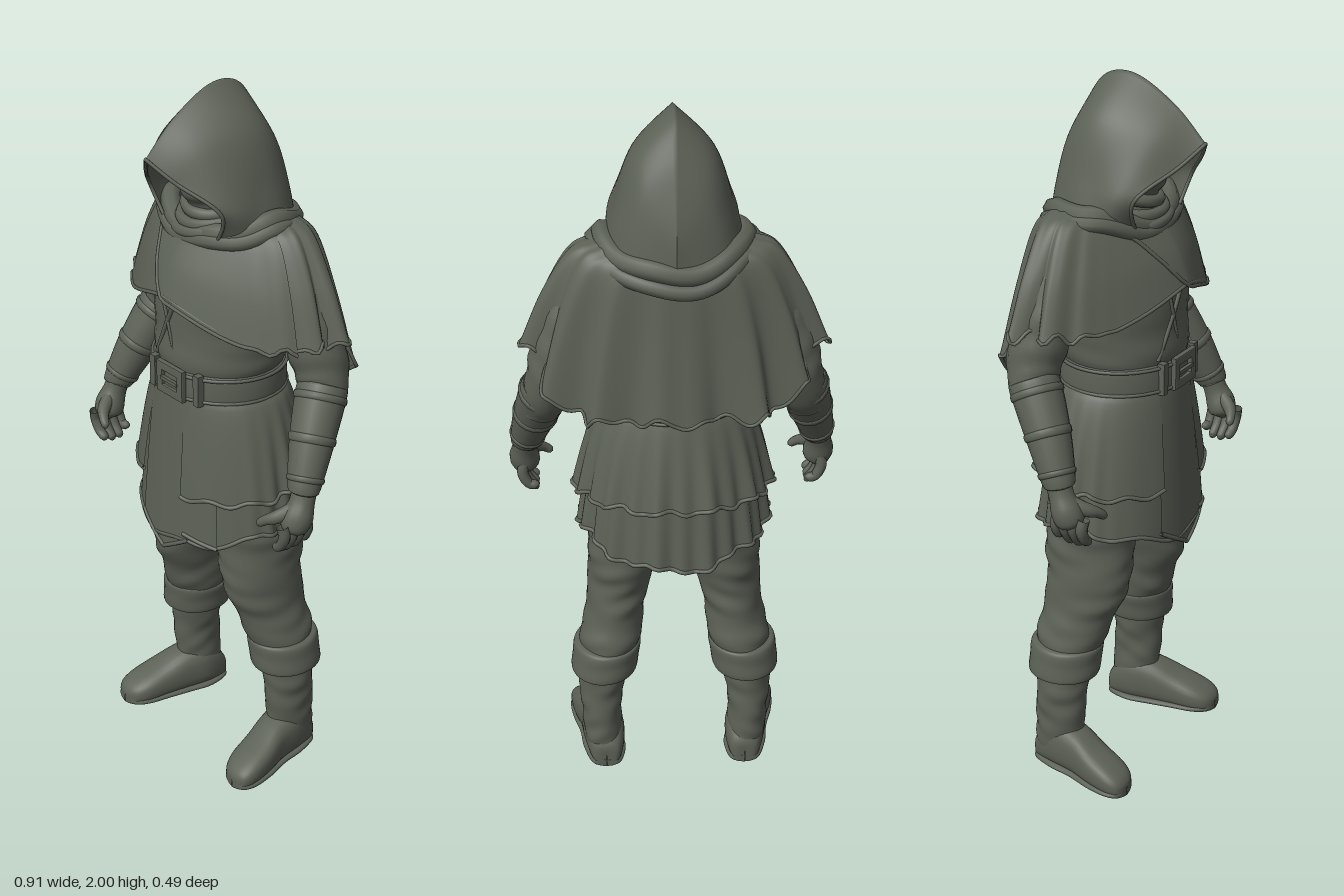
import * as THREE from 'three';

const cloth = new THREE.MeshStandardMaterial({ color: 0x5c6156, side: THREE.DoubleSide });
cloth.name = 'grey green cloth';
const { sin, cos, abs, sign, PI } = Math;
const lerp = THREE.MathUtils.lerp, step = THREE.MathUtils.smoothstep;
const deg = (d) => d * PI / 180;

function mesh(name, geometry, parent) {
  const m = new THREE.Mesh(geometry, cloth);
  m.name = name;
  parent.add(m);
  return m;
}

// Smooth value at t (0..1) along a table of rows
function sample(rows, t) {
  const f = t * (rows.length - 1), i = Math.min(Math.floor(f), rows.length - 2), k = f - i;
  const at = (j) => rows[Math.max(0, Math.min(rows.length - 1, j))];
  return rows[0].map((_, c) => {
    const a = at(i - 1)[c], b = at(i)[c], d = at(i + 1)[c], e = at(i + 2)[c];
    return b + 0.5 * k * (d - a + k * (2 * a - 5 * b + 4 * d - e + k * (3 * (b - d) + e - a)));
  });
}

// Grid surface from fn(u, v); u wraps when closed
function surface(nu, nv, fn, closed = true, flip = false) {
  const pos = [], index = [], cols = closed ? nu : nu + 1;
  for (let j = 0; j <= nv; j++) for (let i = 0; i < cols; i++) pos.push(...fn(i / nu, j / nv));
  for (let j = 0; j < nv; j++) for (let i = 0; i < nu; i++) {
    const i2 = (i + 1) % cols, a = j * cols + i, b = j * cols + i2, c = b + cols, d = a + cols;
    index.push(...(flip ? [a, c, b, a, d, c] : [a, b, c, a, c, d]));
  }
  const g = new THREE.BufferGeometry();
  g.setAttribute('position', new THREE.Float32BufferAttribute(pos, 3));
  g.setIndex(index);
  g.computeVertexNormals();
  return g;
}

// Upright loft of ellipses, rows [y, cx, cz, rx, rz] from bottom to top
const loft = (rows, crease = 0, nv = 48) => surface(36, nv, (u, v) => {
  const [y, cx, cz, rx, rz] = sample(rows, v), a = u * 2 * PI;
  const k = 1 + crease * (sin(y * 88 + 4 * sin(a + 0.7)) * (0.5 + 0.5 * sin(a * 2 + y * 23)) + 0.7 * sin(y * 52 - 3.5 * cos(a) + 1));
  return [cx + rx * k * sin(a), y, cz + rz * k * cos(a)];
});

// Limb along a path, rows [x, y, z, radius]
const limb = (rows, crease = 0, nu = 20, nv = 32) => surface(nu, nv, (u, v) => {
  const p = sample(rows, v), q = sample(rows, Math.min(1, v + 0.01)), o = sample(rows, Math.max(0, v - 0.01));
  const t = new THREE.Vector3(q[0] - o[0], q[1] - o[1], q[2] - o[2]).normalize();
  const n = new THREE.Vector3(0.3, 0.1, 1).cross(t).normalize(), b = t.clone().cross(n), a = u * 2 * PI;
  const r = p[3] * (1 + crease * sin(v * 34 + 3 * sin(a)));
  return [0, 1, 2].map((i) => p[i] + r * (n.getComponent(i) * cos(a) + b.getComponent(i) * sin(a)));
});

// Cord through fn(t)
function cord(fn, r, closed = true, n = 140) {
  const pts = [];
  for (let i = 0; i < n + (closed ? 0 : 1); i++) pts.push(new THREE.Vector3(...fn(i / n)));
  return new THREE.TubeGeometry(new THREE.CatmullRomCurve3(pts, closed), n, r, 8, closed);
}

// Shoulder cape: rows [fall, half width, front depth, back depth]
const capeRows = [[0, 0.12, 0.09, 0.13], [0.06, 0.2, 0.105, 0.16], [0.16, 0.27, 0.125, 0.178], [0.53, 0.335, 0.168, 0.198], [1, 0.385, 0.2, 0.225]];
function capePoint(a, v, off = 0, drop = 0) {
  const [fall, rx, zf, zb] = sample(capeRows, v), s = sin(a), c = cos(a), back = c < 0;
  const side = abs(Math.atan2(s, c)), p = back ? 0.85 : 1.28;
  const top = 1.64 + 0.05 * s * s + (back ? 0.02 * c * c : 0);
  let hem = lerp(1.46, 1.385, step(side, 0, 0.9)) - 0.165 * step(side, 1.8, 2.5) - drop;
  hem += (0.009 * sin(19 * a) + 0.009 * sin(31 * a + 1)) * step(side, 0.6, 1.2);
  // Deep folds over the shoulders and back
  const fold = 1 + (0.072 * cos(14 * (side - 1.75)) + 0.015 * sin(9 * a)) * v * v * step(side, 1, 1.6) + off;
  return [rx * fold * sign(s) * abs(s) ** p, lerp(top, hem, fall),
    -0.04 + ((back ? zb - 0.04 : zf + 0.04) * fold) * sign(c) * abs(c) ** p];
}

// Pleated skirt point from waist (v = 0) to hem (v = 1)
function skirtPoint(a, v, hem, wide, off = 0) {
  const flare = v ** 0.85, s = sin(a), c = cos(a);
  const pleat = (0.03 * sin(24 * a) + 0.022 * sin(11 * a + 1)) * v * step(-c, -0.75, 0.2);
  const k = 1 + pleat + off;
  return [lerp(0.182, wide, v ** 0.6) * k * s, lerp(1.185, hem, v),
    lerp(c > 0 ? 0.172 : 0.15, c > 0 ? wide - 0.06 : wide - 0.05, flare) * k * c];
}

function addSkirt(name, parent, from, to, hem, wide, off = 0) {
  const p = (u, v) => skirtPoint(lerp(from, to, u), v, hem(lerp(from, to, u)), wide, off);
  mesh(name, surface(160, 20, p, false, true), parent);
  mesh(name + 'Hem', cord((t) => p(t, 1), 0.006, false), parent);
}

function buildHood(g) {
  // Arches from brim to nape: crown, temple, cheek and base points
  const arches = [
    [0, 1.84, 0.245, 0.06, 1.785, 0.2, 0.148, 1.71, 0.125, 0.11, 1.62, 0.105],
    [0, 1.925, 0.16, 0.085, 1.85, 0.135, 0.165, 1.715, 0.08, 0.16, 1.63, 0.065],
    [0, 1.992, 0.045, 0.105, 1.885, 0.03, 0.16, 1.73, 0.01, 0.185, 1.64, 0],
    [0, 1.985, -0.045, 0.1, 1.885, -0.05, 0.15, 1.74, -0.06, 0.175, 1.63, -0.07],
    [0, 1.91, -0.105, 0.08, 1.84, -0.11, 0.12, 1.73, -0.12, 0.14, 1.61, -0.135],
    [0, 1.8, -0.15, 0.05, 1.76, -0.15, 0.075, 1.69, -0.156, 0.08, 1.59, -0.17],
    [0, 1.71, -0.178, 0, 1.68, -0.182, 0, 1.64, -0.186, 0, 1.58, -0.19]];
  const point = (u, v) => {
    const r = sample(arches, v), s = u < 0.5 ? -1 : 1;
    const [x, y, z] = sample([0, 3, 6, 9].map((i) => r.slice(i, i + 3)), abs(2 * u - 1));
    return [s * x, y, z];
  };
  mesh('hood', surface(48, 36, point, false, true), g);
  mesh('hoodBrim', cord((t) => point(t, 0), 0.005, false, 60), g);
  // Head and wrapped neck cloth
  mesh('head', new THREE.SphereGeometry(1, 28, 20).scale(0.09, 0.125, 0.105), g).position.set(0, 1.785, 0.02);
  mesh('faceMask', loft([[1.6, 0, 0.01, 0.095, 0.085], [1.68, 0, 0.01, 0.065, 0.09], [1.72, 0, 0.015, 0.072, 0.11], [1.79, 0, 0.015, 0.08, 0.112], [1.82, 0, 0.015, 0.07, 0.09]]), g);
  for (let i = 0; i < 3; i++) mesh('scarfFold', cord((t) => {
    const a = t * 2 * PI;
    return [(0.075 + 0.018 * i) * sin(a), 1.685 - 0.028 * i - 0.018 * cos(a + i * 0.7 - 0.5), 0.02 + (0.08 + 0.01 * i) * cos(a)];
  }, 0.017, true, 60), g);
  // Hood folds lying around the shoulders, drooping at the back
  [[0.185, 1.665, 0.16, 0.028, 0.045], [0.208, 1.65, 0.175, 0.022, 0.07]].forEach(([rx, y, rz, r, droop]) =>
    mesh('collarFold', cord((t) => {
      const a = t * 2 * PI, c = cos(a);
      return [rx * sin(a), y - (c < 0 ? droop : 0.05) * c * c + 0.006 * sin(5 * a), -0.015 + (c > 0 ? rz - 0.045 : rz) * c];
    }, r, true, 80), g));
}

function buildTorso(g) {
  mesh('tunic', loft([[1.13, 0, 0.01, 0.18, 0.16], [1.22, 0, 0.01, 0.178, 0.16], [1.27, 0, 0.005, 0.192, 0.17], [1.33, 0, 0, 0.198, 0.17], [1.4, 0, 0, 0.203, 0.168],
    [1.5, 0, -0.01, 0.215, 0.165], [1.58, 0, -0.02, 0.2, 0.135], [1.65, 0, -0.01, 0.1, 0.09]], 0.006), g);
  mesh('lapelEdge', cord((t) => [lerp(0.03, -0.08, t), lerp(1.47, 1.26, t), 0.17 - 0.013 * t * t], 0.007, false, 12), g);
  mesh('lapelEdge', cord((t) => [lerp(-0.04, 0.015, t), lerp(1.44, 1.26, t), 0.169], 0.005, false, 12), g);
  // Cape with its crossed front flap
  mesh('cape', surface(200, 32, (u, v) => capePoint(u * 2 * PI, v), true, true), g);
  mesh('capeHem', cord((t) => capePoint(t * 2 * PI, 1), 0.005, true, 200), g);
  const flap = (u, v) => capePoint(lerp(deg(-38), deg(66), u), v * lerp(0.5, 1, step(u, 0, 0.42)), 0.03, 0.01);
  mesh('capeFlap', surface(40, 20, flap, false, true), g);
  mesh('capeFlapHem', cord((t) => flap(t, 1), 0.005, false, 40), g);
  // Belt, edging and buckle
  mesh('belt', loft([[1.17, 0, 0.01, 0.186, 0.168], [1.18, 0, 0.01, 0.194, 0.174], [1.24, 0, 0.01, 0.192, 0.172], [1.25, 0, 0.01, 0.182, 0.165]], 0, 12), g);
  for (const y of [1.178, 1.243]) mesh('beltEdge', cord((t) => [0.193 * sin(t * 2 * PI), y, 0.01 + 0.173 * cos(t * 2 * PI)], 0.005, true, 60), g);
  const frame = new THREE.Shape([[-0.052, -0.042], [0.052, -0.042], [0.052, 0.042], [-0.052, 0.042]].map((p) => new THREE.Vector2(...p)));
  frame.holes.push(new THREE.Path([[-0.034, -0.024], [-0.034, 0.024], [0.034, 0.024], [0.034, -0.024]].map((p) => new THREE.Vector2(...p))));
  mesh('buckleFrame', new THREE.ExtrudeGeometry(frame, { depth: 0.01, bevelSize: 0.003, bevelThickness: 0.003, bevelSegments: 2 }), g).position.set(0.012, 1.215, 0.179);
  mesh('bucklePin', new THREE.BoxGeometry(0.07, 0.01, 0.01), g).position.set(0.012, 1.215, 0.19);
  for (const x of [-0.075, 0.1]) mesh('beltLoop', new THREE.BoxGeometry(0.022, 0.088, 0.02), g).position.set(x, 1.212, x < 0 ? 0.171 : 0.162);
}

function buildSkirt(g) {
  addSkirt('lowerSkirt', g, deg(-180), deg(180), (a) => 0.772 - 0.03 * cos(2 * a) + 0.01 * sin(7 * a), 0.265);
  addSkirt('upperSkirt', g, deg(15), deg(338), (a) => 0.915 - 0.02 * cos(a) + 0.007 * sin(13 * a), 0.266, 0.03);
  addSkirt('frontPanel', g, deg(-24), deg(20), (a) => 0.705 + 0.16 * abs(a), 0.258, 0.055);
  addSkirt('sidePanel', g, deg(16), deg(40), (a) => 0.79 - 0.05 * a, 0.26, 0.042);
}

function buildLeg(g) {
  mesh('trouserLeg', loft([[0.36, 0.2, -0.065, 0.075, 0.085], [0.43, 0.184, -0.055, 0.09, 0.102], [0.5, 0.173, -0.037, 0.083, 0.108], [0.6, 0.157, -0.015, 0.09, 0.124],
    [0.7, 0.143, -0.018, 0.1, 0.13], [0.82, 0.122, -0.01, 0.115, 0.14], [0.95, 0.1, 0, 0.11, 0.14]], 0.022, 70), g);
  mesh('bootCuff', loft([[0.325, 0.205, -0.068, 0.07, 0.08], [0.318, 0.206, -0.068, 0.094, 0.102], [0.365, 0.2, -0.065, 0.096, 0.105],
    [0.405, 0.194, -0.062, 0.095, 0.104], [0.412, 0.19, -0.06, 0.07, 0.085]], 0.006), g);
  mesh('bootShaft', loft([[0.06, 0.212, -0.08, 0.055, 0.07], [0.12, 0.214, -0.08, 0.056, 0.074], [0.2, 0.216, -0.074, 0.06, 0.074], [0.27, 0.213, -0.07, 0.066, 0.077], [0.35, 0.205, -0.067, 0.07, 0.08]], 0.032), g);
  // Shoe rows [z, cx, half width, height]
  const shoe = [[-0.155, 0.205, 0.001, 0.04], [-0.148, 0.205, 0.04, 0.085], [-0.08, 0.21, 0.06, 0.145], [-0.01, 0.222, 0.058, 0.137],
    [0.06, 0.24, 0.06, 0.105], [0.12, 0.251, 0.058, 0.08], [0.155, 0.257, 0.046, 0.06], [0.17, 0.259, 0.026, 0.043], [0.174, 0.259, 0.001, 0.03]];
  const foot = (grow, high) => surface(28, 36, (u, v) => {
    const [z, cx, w, h] = sample(shoe, v), a = u * 2 * PI, c = cos(a);
    return [cx + w * grow * sign(sin(a)) * abs(sin(a)) ** 0.75, (high || h) * (0.5 + 0.5 * sign(c) * abs(c) ** 0.75), z];
  }, true, true);
  mesh('shoe', foot(1, 0), g);
  mesh('sole', foot(1.04, 0.024), g);
}

function buildArm(g) {
  mesh('sleeve', limb([[0.2, 1.585, -0.03, 0.075], [0.265, 1.46, -0.05, 0.08], [0.303, 1.35, -0.065, 0.078], [0.33, 1.26, -0.068, 0.068], [0.36, 1.17, -0.03, 0.056]], 0.025), g);
  const bracer = [[0.338, 1.255, -0.062, 0.055], [0.342, 1.24, -0.054, 0.068], [0.375, 1.13, 0.005, 0.06], [0.403, 1.03, 0.052, 0.046], [0.407, 1.01, 0.06, 0.04]];
  mesh('bracer', limb(bracer), g);
  for (const t of [0.3, 0.5, 0.72]) {
    const band = [-0.025, -0.015, 0.015, 0.025].map((d, i) => {
      const p = sample(bracer, t + d);
      return [p[0], p[1], p[2], p[3] + (i % 3 ? 0.003 : -0.003)];
    });
    mesh('bracerStrap', limb(band, 0, 20, 6), g);
  }
  // Hand with four curled fingers and a thumb
  mesh('palm', limb([[0.406, 1.03, 0.052, 0.034], [0.412, 0.985, 0.068, 0.034], [0.414, 0.945, 0.085, 0.042], [0.408, 0.915, 0.096, 0.036], [0.404, 0.9, 0.1, 0.004]], 0, 16, 20), g);
  for (let i = 0; i < 4; i++) {
    const z = 0.055 + 0.026 * i, low = 0.848 + (i === 0 ? 0.02 : i === 3 ? 0.008 : 0);
    mesh('finger', limb([[0.416, 0.935, z + 0.005, 0.016], [0.42, 0.905, z, 0.016], [0.405, 0.872, z - 0.002, 0.0145], [0.383, low, z - 0.004, 0.012], [0.376, low - 0.004, z - 0.004, 0.001]], 0, 10, 14), g);
  }
  mesh('thumb', limb([[0.41, 0.975, 0.085, 0.018], [0.388, 0.95, 0.125, 0.019], [0.362, 0.935, 0.146, 0.014], [0.343, 0.92, 0.153, 0.011], [0.336, 0.915, 0.154, 0.001]], 0, 12, 14), g);
}

export function createModel() {
  const model = new THREE.Group();
  model.name = 'hoodedFigure';
  const part = (name, build) => {
    const g = new THREE.Group();
    g.name = name;
    build(g);
    model.add(g);
    return g;
  };
  part('hoodAndHead', buildHood);
  part('torso', buildTorso);
  part('skirt', buildSkirt);
  // Limbs on the left, mirrored to the right
  for (const [side, s] of [['left', 1], ['right', -1]]) {
    part(side + 'Leg', buildLeg).scale.x = s;
    part(side + 'Arm', buildArm).scale.x = s;
  }
  return model;
}
